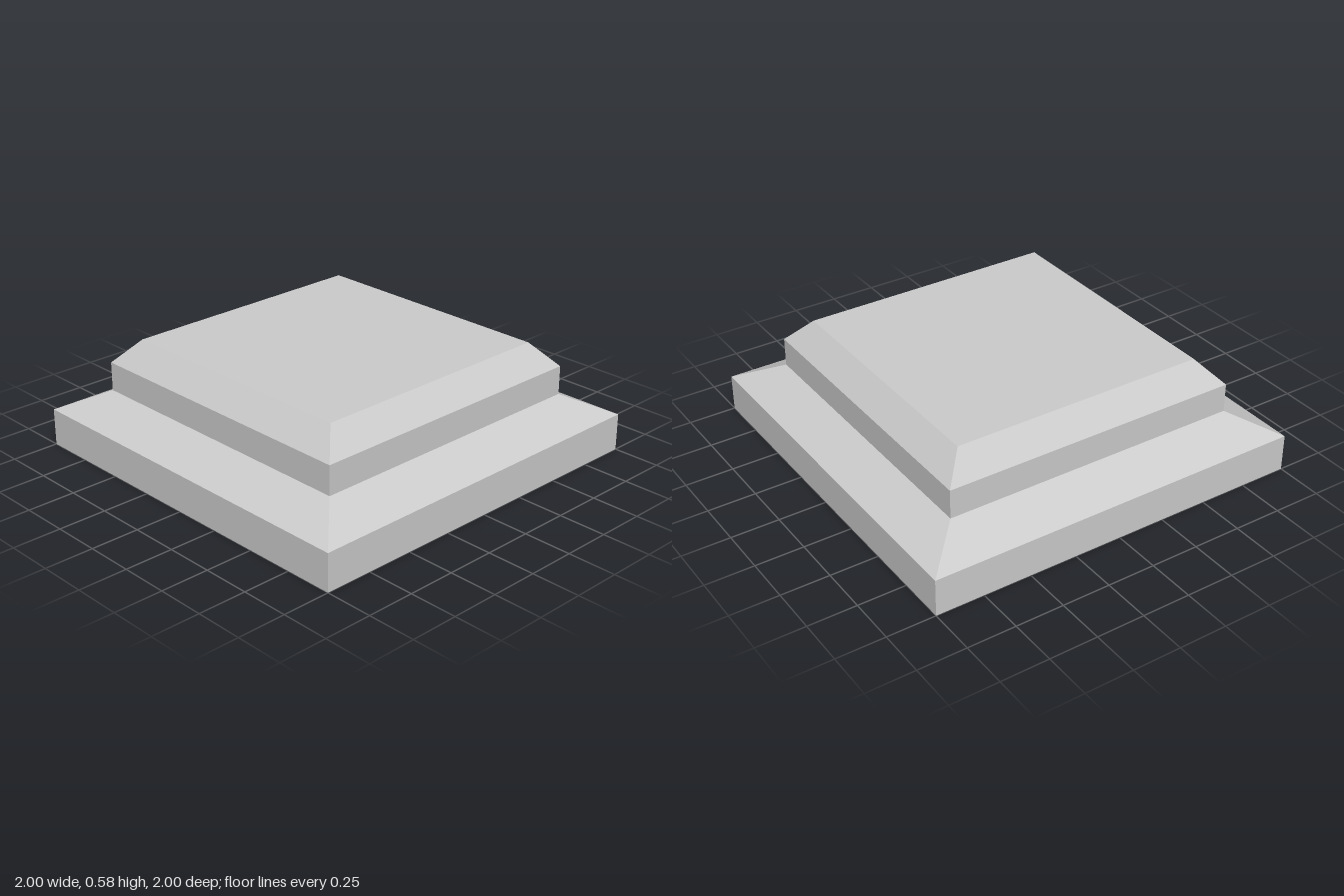
import * as THREE from 'three';

// Four-sided shell from a profile of [half width, height], listed bottom to top
function squareTier(name, profile, material) {
  const points = profile.map(([half, y]) => new THREE.Vector2(half * Math.SQRT2, y));
  const mesh = new THREE.Mesh(new THREE.LatheGeometry(points, 4, Math.PI / 4), material);
  mesh.name = name;
  return mesh;
}

export function createModel() {
  const group = new THREE.Group();
  group.name = 'steppedPlinth';
  const material = new THREE.MeshStandardMaterial({ color: 0xcccccc, flatShading: true });

  // Wide base slab with its closed underside and sloped shoulder
  group.add(squareTier('baseSlab', [[0, 0], [1, 0], [1, 0.193], [0.785, 0.302]], material));

  // Upper block with chamfered rim and flat top
  group.add(squareTier('upperBlock', [[0.785, 0.302], [0.785, 0.452], [0.67, 0.577], [0, 0.577]], material));

  return group;
}
